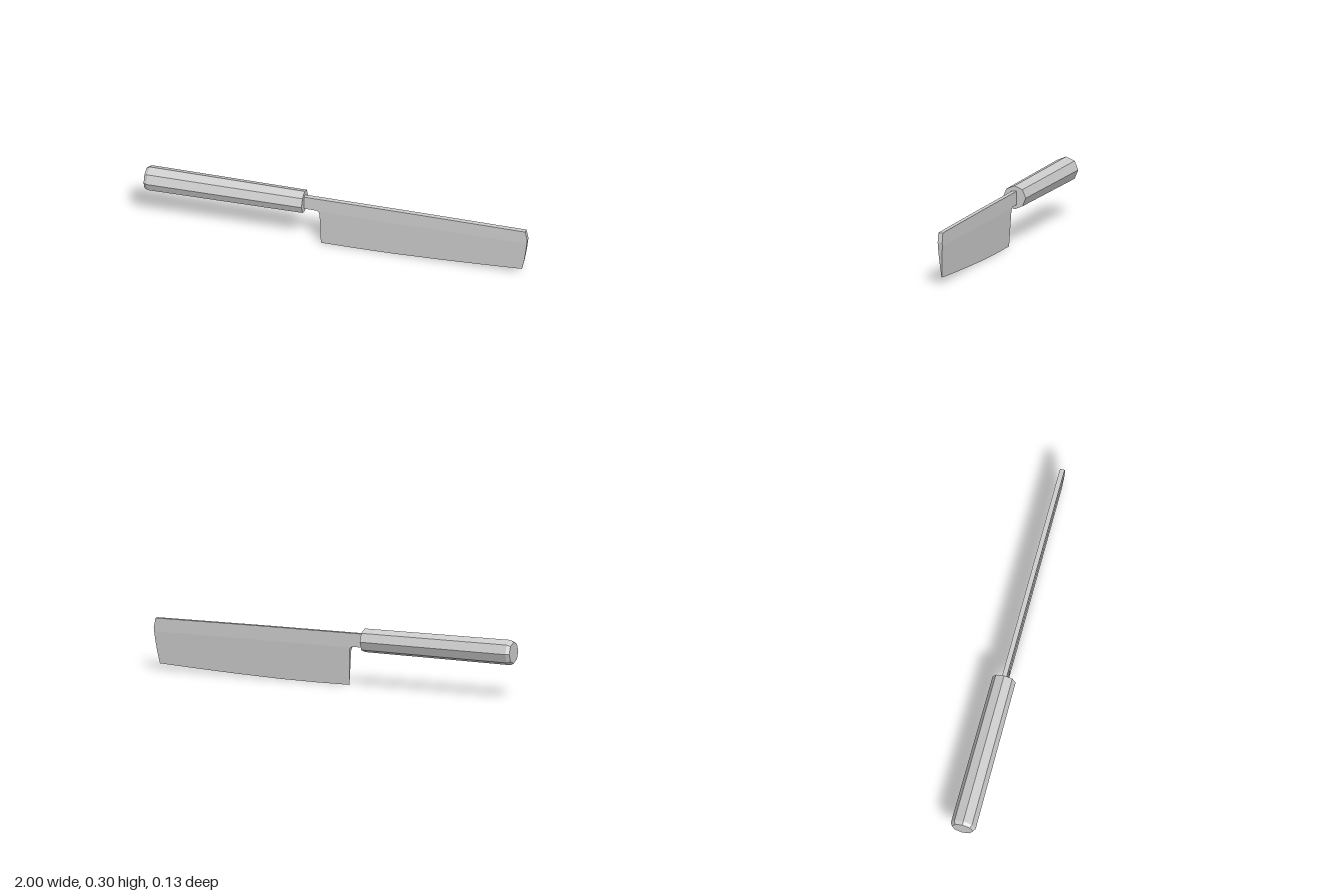
import * as THREE from 'three';
import { mergeGeometries } from 'three/addons/utils/BufferGeometryUtils.js';

const material = new THREE.MeshStandardMaterial({ color: 0xcccccc, flatShading: true });
const RIDGE = 0.195; // height where the bevel starts
const HALF = 0.012; // half thickness of the spine

// Half thickness: constant above the ridge, tapering to the cutting edge.
const halfAt = (y) => Math.max(0.0003, HALF * Math.min(1, y / RIDGE));

// One side panel of the blade; side is +1 for front, -1 for back.
function panel(points, side) {
  const shape = new THREE.Shape(points.map(([x, y]) => new THREE.Vector2(x, y)));
  const g = new THREE.ShapeGeometry(shape);
  const p = g.attributes.position;
  for (let i = 0; i < p.count; i++) p.setZ(i, side * halfAt(p.getY(i)));
  if (side < 0) g.index.array.reverse();
  return g.toNonIndexed();
}

// Narrow wall joining the two sides along a counterclockwise outline.
function wall(points) {
  const pos = [];
  points.forEach(([ax, ay], i) => {
    const [bx, by] = points[(i + 1) % points.length];
    const ha = halfAt(ay), hb = halfAt(by);
    pos.push(ax, ay, ha, ax, ay, -ha, bx, by, -hb);
    pos.push(ax, ay, ha, bx, by, -hb, bx, by, hb);
  });
  const g = new THREE.BufferGeometry();
  g.setAttribute('position', new THREE.Float32BufferAttribute(pos, 3));
  return g;
}

function createBlade() {
  const heelRidge = [-0.096, RIDGE];
  const tipRidge = [0.998, RIDGE];
  // Tip and spine above the ridge, ending with the underside of the tang
  const upper = [
    [1.0, 0.215], [0.99, 0.263], [0.4, 0.268], [-0.2, 0.27],
    [-0.2, 0.201], [-0.125, 0.2], [-0.105, 0.199],
  ];
  // Heel, cutting edge and lower tip
  const lower = [
    [-0.091, 0.185], [-0.089, 0.17], [-0.085, 0.001], [0.1, 0], [0.3, 0.002],
    [0.55, 0.01], [0.8, 0.021], [0.97, 0.03], [0.983, 0.09], [0.992, 0.145],
  ];
  const parts = [wall([tipRidge, ...upper, heelRidge, ...lower])];
  for (const side of [1, -1]) {
    parts.push(panel([tipRidge, ...upper, heelRidge], side));
    parts.push(panel([heelRidge, ...lower, tipRidge], side));
  }
  for (const g of parts) {
    g.deleteAttribute('uv');
    g.computeVertexNormals();
  }
  return new THREE.Mesh(mergeGeometries(parts), material);
}

// Octagonal handle with a chamfered butt, slightly slimmer towards the blade
function createHandle() {
  const profile = [[0, -1], [0.055, -1], [0.065, -0.983], [0.0605, -0.17], [0, -0.17]]
    .map(([r, x]) => new THREE.Vector2(r, x));
  const g = new THREE.LatheGeometry(profile, 8).rotateZ(-Math.PI / 2);
  const mesh = new THREE.Mesh(g, material);
  mesh.position.y = 0.237;
  return mesh;
}

export function createModel() {
  const model = new THREE.Group();
  model.name = 'kitchenKnife';
  const blade = createBlade();
  blade.name = 'blade';
  const handle = createHandle();
  handle.name = 'handle';
  model.add(blade, handle);
  return model;
}
